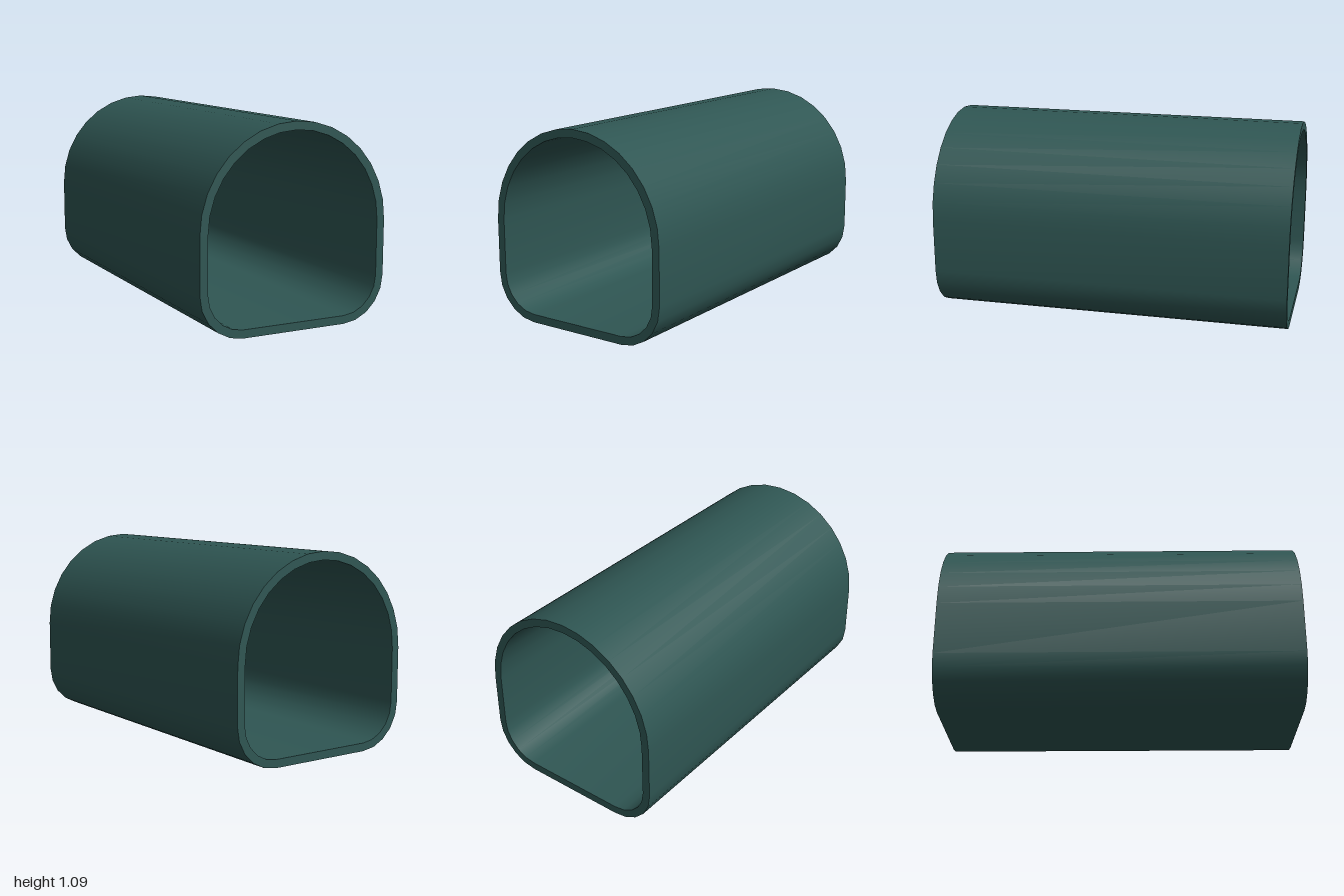
import * as THREE from 'three';
import { toCreasedNormals } from 'three/addons/utils/BufferGeometryUtils.js';

const HALF_WIDTH = 0.545, WALL = 0.045, LENGTH = 2;
const CORNER_RADIUS = 0.245, CORNER_X = 0.3;

// Points of an arc, both ends included
function arc(cx, cy, radius, from, to, segments) {
  return Array.from({ length: segments + 1 }, (_, i) => {
    const a = from + (to - from) * i / segments;
    return new THREE.Vector2(cx + radius * Math.cos(a), cy + radius * Math.sin(a));
  });
}

// Arched outline with rounded lower corners, moved inwards by inset
function outline(inset) {
  const r = CORNER_RADIUS - inset;
  return [
    ...arc(0, HALF_WIDTH, HALF_WIDTH - inset, 0, Math.PI, 16),
    ...arc(-CORNER_X, CORNER_RADIUS, r, Math.PI, Math.PI * 1.5, 5),
    ...arc(CORNER_X, CORNER_RADIUS, r, Math.PI * 1.5, Math.PI * 2, 5),
  ];
}

export function createModel() {
  const group = new THREE.Group();
  group.name = 'archedTunnel';

  // Open-ended tunnel wall, smooth along the curve with sharp end rims
  const shape = new THREE.Shape(outline(0));
  shape.holes.push(new THREE.Path(outline(WALL)));
  const extruded = new THREE.ExtrudeGeometry(shape, { depth: LENGTH, bevelEnabled: false });
  extruded.translate(0, 0, -LENGTH / 2);

  const wall = new THREE.Mesh(
    toCreasedNormals(extruded, Math.PI / 5),
    new THREE.MeshStandardMaterial({ color: 0x2f5653 })
  );
  wall.name = 'tunnelWall';
  group.add(wall);
  return group;
}
